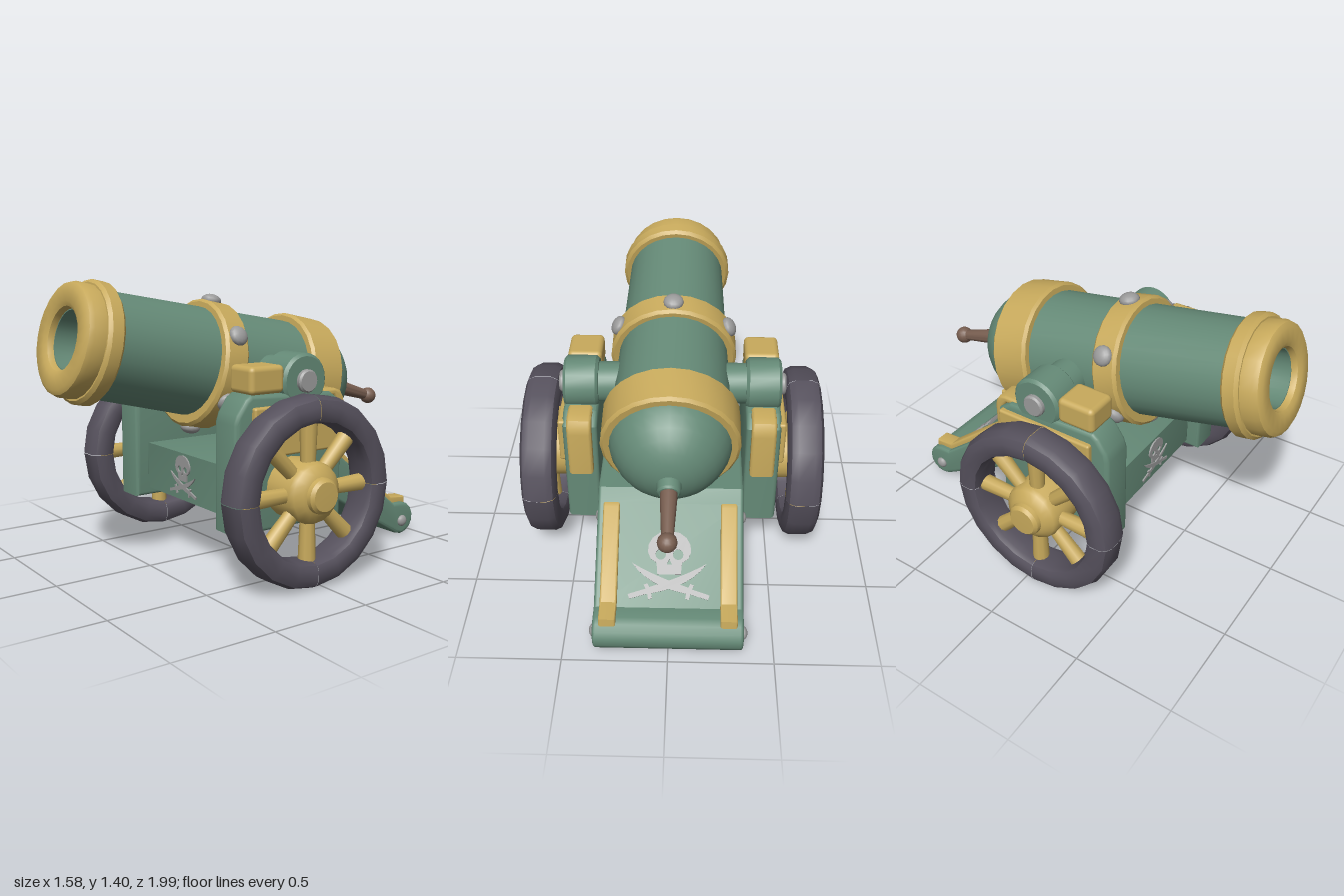
import * as THREE from 'three';
import { toCreasedNormals } from 'three/addons/utils/BufferGeometryUtils.js';
import { RoundedBoxGeometry } from 'three/addons/geometries/RoundedBoxGeometry.js';

const mat = (color) => new THREE.MeshStandardMaterial({ color });
const green = mat(0x658a77), gold = mat(0xc8aa5c), iron = mat(0x9b9b9b);
const tyre = mat(0x56515d), wood = mat(0x785e50);

const V = (pts) => pts.map(([x, y]) => new THREE.Vector2(x, y));

function add(parent, name, geometry, material, x = 0, y = 0, z = 0) {
  const mesh = new THREE.Mesh(geometry, material);
  mesh.name = name;
  mesh.position.set(x, y, z);
  parent.add(mesh);
  return mesh;
}

// Turned part from [radius, height] points
const lathe = (pts, segs = 24, start = 0, sweep = Math.PI * 2) =>
  toCreasedNormals(new THREE.LatheGeometry(V(pts), segs, start, sweep), 0.6);
const alongZ = (pts, segs) => lathe(pts, segs).rotateX(Math.PI / 2);
const alongX = (pts, segs, start, sweep) => lathe(pts, segs, start, sweep).rotateZ(-Math.PI / 2);

// Bevelled slab of a shape, centred on its thickness
function slab(shape, width, bevel) {
  const g = new THREE.ExtrudeGeometry(shape, {
    depth: width - 2 * bevel, bevelEnabled: bevel > 0, bevelThickness: bevel, bevelSize: bevel,
    bevelOffset: -bevel, bevelSegments: 3, curveSegments: 6,
  });
  g.translate(0, 0, -(width - 2 * bevel) / 2);
  return toCreasedNormals(g, 0.6);
}

// Slab from a side profile of [z, y] points, its width along x
const sideSlab = (pts, width, bevel) =>
  slab(new THREE.Shape(V(pts)), width, bevel).rotateY(-Math.PI / 2);

// Domed rivet pointing along +y
const rivet = (r, h) => new THREE.SphereGeometry(r, 14, 10).scale(1, h / r, 1);

function buildBarrel() {
  const barrel = new THREE.Group();
  barrel.name = 'barrel';
  barrel.position.set(0, 0.94, -0.035);
  barrel.rotation.x = -0.205;

  // Domed breech, tapered tube and stepped bore in one profile
  const profile = [];
  for (let i = 0; i <= 8; i++) {
    const a = (i / 8) * Math.PI / 2;
    profile.push([0.295 * Math.sin(a), -0.36 - 0.295 * Math.cos(a)]);
  }
  profile.push([0.287, -0.22], [0.27, 0.25], [0.25, 0.83], [0.25, 0.96], [0.135, 0.96], [0.135, 0.4],
    [0.125, 0.38], [0.125, 0.15], [0.115, 0.13], [0.115, -0.12], [0, -0.12]);
  add(barrel, 'tube', alongZ(profile, 28), green);
  add(barrel, 'cannonball', new THREE.SphereGeometry(0.112, 20, 12), iron, 0, 0, -0.03);

  add(barrel, 'muzzleRing', alongZ([[0.24, 0.82], [0.272, 0.82], [0.287, 0.835], [0.287, 0.89],
    [0.272, 0.905], [0.264, 0.905], [0.264, 0.965], [0.256, 0.987], [0.235, 1], [0.17, 1],
    [0.148, 0.988], [0.14, 0.965], [0.14, 0.92]]), gold);
  const band = (name, a, b, r, inner) => add(barrel, name,
    alongZ([[inner, a], [r - 0.014, a], [r, a + 0.014], [r, b - 0.014], [r - 0.014, b], [inner, b]]), gold);
  band('middleBand', 0.165, 0.3, 0.316, 0.25).position.y = -0.008;
  band('breechBand', -0.43, -0.225, 0.329, 0.27);

  for (let i = 0; i < 6; i++) {
    const a = Math.PI / 2 + i * Math.PI / 3;
    const b = add(barrel, 'bandRivet', rivet(0.05, 0.032), iron, 0.317 * Math.cos(a), 0.317 * Math.sin(a) - 0.008, 0.232);
    b.rotation.z = a - Math.PI / 2;
  }

  // Handle at the breech
  const handle = new THREE.Group();
  handle.name = 'breechHandle';
  handle.position.z = -0.64;
  handle.rotation.x = -0.08;
  add(handle, 'handleCollar', alongZ([[0, -0.055], [0.046, -0.055], [0.054, -0.045], [0.058, 0.02]]), green);
  add(handle, 'handleGrip', alongZ([[0, -0.29], [0.027, -0.29], [0.04, -0.07], [0.04, -0.04]], 14), wood);
  add(handle, 'handleKnob', new THREE.SphereGeometry(0.045, 14, 10), wood, 0, 0, -0.3);
  barrel.add(handle);
  return barrel;
}

function buildWheel() {
  const wheel = new THREE.Group();
  wheel.name = 'wheel';
  // Rounded rim in four segments with fine joints
  const rim = [[0.322, 0], [0.322, -0.05], [0.332, -0.076], [0.355, -0.0875], [0.4, -0.0875], [0.432, -0.072],
    [0.447, -0.04], [0.447, 0.04], [0.432, 0.072], [0.4, 0.0875], [0.355, 0.0875], [0.332, 0.076], [0.322, 0.05], [0.322, 0]];
  for (let i = 0; i < 4; i++) {
    add(wheel, 'rimSegment', alongX(rim, 5, i * Math.PI / 2 + 0.003, Math.PI / 2 - 0.006), tyre);
  }
  for (let i = 0; i < 8; i++) {
    const spoke = new THREE.CylinderGeometry(0.043, 0.034, 0.25, 10).translate(0, 0.225, 0);
    add(wheel, 'spoke', spoke, gold).rotation.x = i * Math.PI / 4;
  }
  add(wheel, 'hub', alongX([[0, -0.13], [0.135, -0.13], [0.145, -0.118], [0.145, 0.04], [0.135, 0.062],
    [0.1, 0.088], [0.085, 0.094], [0.082, 0.115], [0.068, 0.13], [0, 0.132]], 20), gold);
  return wheel;
}

// Skull above two crossed cutlasses, flat in xy
function buildOrnament() {
  const g = new THREE.Group();
  g.name = 'skullOrnament';
  const skull = new THREE.Shape();
  skull.moveTo(-0.035, -0.03);
  skull.lineTo(0.035, -0.03);
  skull.lineTo(0.038, 0.004);
  skull.bezierCurveTo(0.085, 0.02, 0.07, 0.1, 0, 0.1);
  skull.bezierCurveTo(-0.07, 0.1, -0.085, 0.02, -0.038, 0.004);
  for (const s of [-1, 1]) {
    const eye = new THREE.Path();
    eye.absarc(s * 0.026, 0.029, 0.016, 0, Math.PI * 2, true);
    skull.holes.push(eye);
  }
  skull.holes.push(new THREE.Path(V([[-0.008, 0], [0, 0.016], [0.008, 0]])));
  add(g, 'skull', slab(skull, 0.012, 0), iron);

  const blade = new THREE.Shape();
  blade.moveTo(-0.125, -0.004);
  blade.lineTo(-0.07, -0.006);
  blade.lineTo(-0.072, -0.02);
  blade.lineTo(-0.06, -0.02);
  blade.lineTo(-0.058, -0.008);
  blade.quadraticCurveTo(0.06, -0.022, 0.125, 0.018);
  blade.quadraticCurveTo(0.05, 0.006, -0.058, 0.008);
  blade.lineTo(-0.06, 0.018);
  blade.lineTo(-0.072, 0.018);
  blade.lineTo(-0.07, 0.007);
  blade.lineTo(-0.125, 0.008);
  for (const turn of [0, Math.PI]) {
    const sword = add(g, 'cutlass', slab(blade, 0.01, 0), iron, 0, -0.058, 0);
    sword.rotation.set(0, turn, 0.33);
    sword.scale.y = 1.2;
  }
  return g;
}

function buildCarriage() {
  const carriage = new THREE.Group();
  carriage.name = 'carriage';
  // Bed with sloping tail and rounded tail end
  const bed = [[0.3, 0.3], [0.3, 0.54], [-0.38, 0.54], [-0.44, 0.49], [-0.83, 0.18]];
  for (let i = 0; i <= 8; i++) {
    const a = (95 + i * 25) * Math.PI / 180;
    bed.push([-0.885 + 0.088 * Math.cos(a), 0.093 + 0.088 * Math.sin(a)]);
  }
  bed.push([-0.35, 0.3]);
  add(carriage, 'bed', sideSlab(bed, 0.71, 0.016), green);

  const cheek = [[0.36, 0.25], [0.36, 0.76], [0.345, 0.805], [0.3, 0.87], [0.27, 0.89], [-0.2, 0.87], [-0.27, 0.82], [-0.27, 0.25]];
  const strap = [[-0.17, 0.845], [-0.17, 0.88], [-0.25, 0.88], [-0.285, 0.867], [-0.305, 0.835], [-0.31, 0.8],
    [-0.31, 0.56], [-0.26, 0.56], [-0.26, 0.82], [-0.24, 0.845]];
  const rail = [[-0.45, 0.46], [-0.452, 0.505], [-0.475, 0.5], [-0.83, 0.213], [-0.93, 0.205], [-0.935, 0.16], [-0.84, 0.14]];

  for (const s of [-1, 1]) {
    add(carriage, 'cheek', sideSlab(cheek, 0.17, 0.02), green, s * 0.445);
    add(carriage, 'cheekCap', new RoundedBoxGeometry(0.172, 0.13, 0.195, 3, 0.025), gold, s * 0.445, 0.952, 0.18);
    add(carriage, 'rearStrap', sideSlab(strap, 0.12, 0.015), gold, s * 0.445);
    add(carriage, 'sidePlate', new RoundedBoxGeometry(0.04, 0.235, 0.52, 2, 0.012), gold, s * 0.535, 0.717, 0.01);
    add(carriage, 'tailRail', sideSlab(rail, 0.08, 0.008), gold, s * 0.285);

    // Trunnion, its bearing and end bolt
    const trunnion = new THREE.Group();
    trunnion.name = 'trunnion';
    trunnion.position.set(0, 0.934, -0.04);
    trunnion.rotation.y = s > 0 ? 0 : Math.PI;
    add(trunnion, 'trunnionShaft', alongX([[0.1, 0.2], [0.1, 0.4]]), green);
    add(trunnion, 'bearing', alongX([[0, 0.36], [0.115, 0.36], [0.129, 0.374], [0.129, 0.516], [0.115, 0.53], [0, 0.53]]), green);
    add(trunnion, 'bearingBolt', alongX([[0.055, 0.52], [0.055, 0.547], [0.047, 0.556], [0, 0.556]], 16), iron);
    carriage.add(trunnion);

    for (const [y, z] of [[0.08, -0.885], [0.362, -0.39]]) {
      add(carriage, 'tailBolt', rivet(0.031, 0.02), iron, s * 0.356, y, z).rotation.z = -s * Math.PI / 2;
    }

    const wheel = buildWheel();
    wheel.position.set(s * 0.659, 0.447, 0.05);
    wheel.rotation.y = s > 0 ? 0 : Math.PI;
    carriage.add(wheel);
  }

  const front = buildOrnament();
  front.position.set(0, 0.43, 0.302);
  const back = buildOrnament();
  back.position.set(0, 0.31, -0.672);
  back.rotation.set(0.9, Math.PI, 0);
  back.scale.set(1.6, 1.6, 1);
  carriage.add(front, back);
  return carriage;
}

export function createModel() {
  const model = new THREE.Group();
  model.name = 'cannon';
  model.add(buildBarrel(), buildCarriage());
  return model;
}
